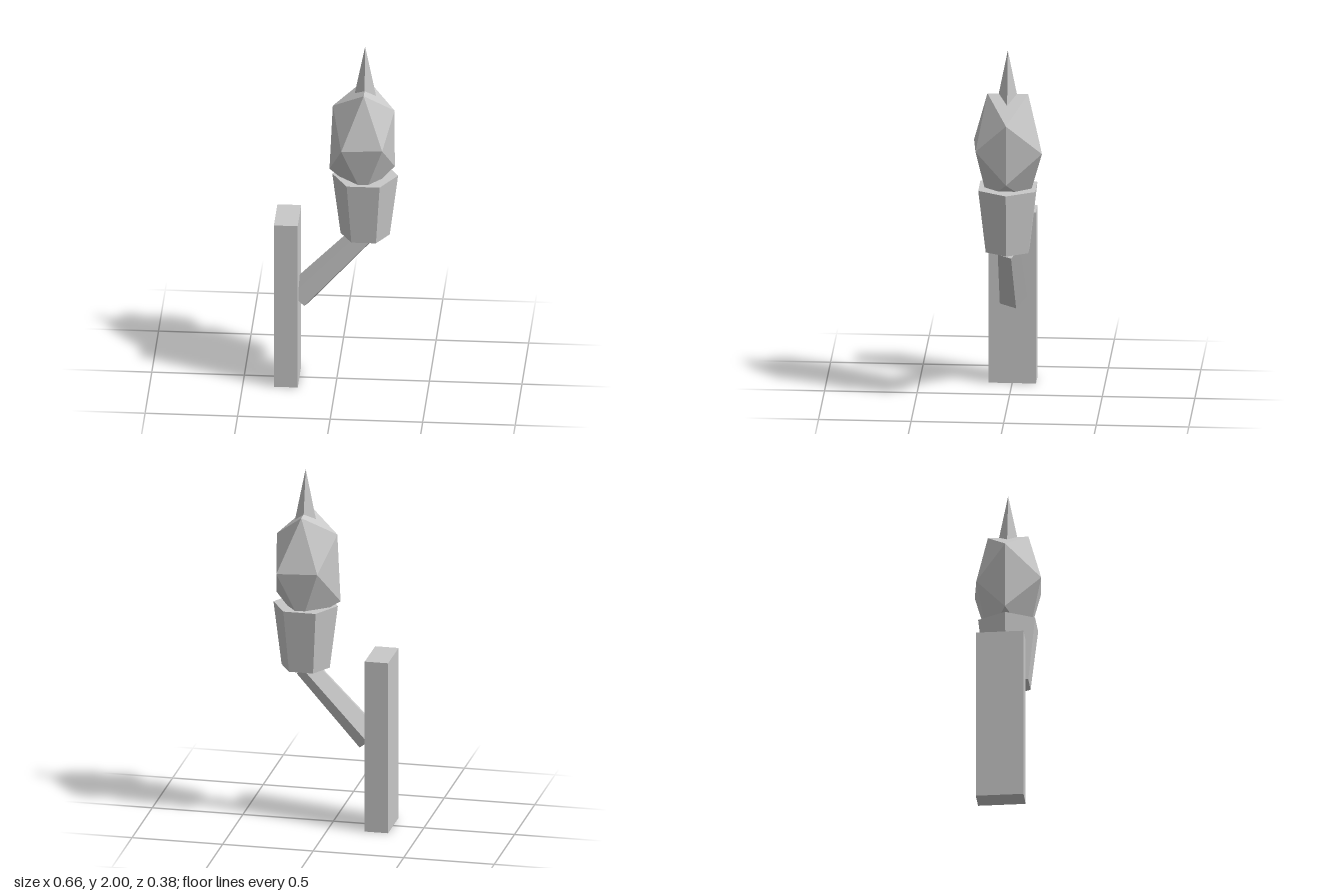
import * as THREE from 'three';
import { ConvexGeometry } from 'three/addons/geometries/ConvexGeometry.js';

const AXIS_X = 0.153; // vertical axis shared by cup, flame and tip

export function createModel() {
  const model = new THREE.Group();
  model.name = 'wallTorch';
  const stone = new THREE.MeshStandardMaterial({ color: 0xc8c8c8 });
  stone.name = 'pale grey';
  stone.flatShading = true;

  const add = (name, geometry, x = 0, y = 0, z = 0) => {
    const mesh = new THREE.Mesh(geometry, stone);
    mesh.name = name;
    mesh.position.set(x, y, z);
    model.add(mesh);
    return mesh;
  };

  // Upright wall plate
  add('wallPlate', new THREE.BoxGeometry(0.129, 0.97, 0.258), -0.2665, 0.485, 0);

  // Tapered five-sided arm, leaning from the plate up to the cup
  const start = new THREE.Vector3(-0.206, 0.492, 0);
  const end = new THREE.Vector3(AXIS_X, 0.877, 0);
  const span = end.clone().sub(start);
  const armShape = new THREE.CylinderGeometry(0.065, 0.08, span.length(), 5);
  armShape.rotateY(Math.PI);
  armShape.rotateZ(-Math.atan2(span.x, span.y));
  const middle = start.add(end).multiplyScalar(0.5);
  add('arm', armShape, middle.x, middle.y, 0);

  // Six-sided cup with corners pointing to either side
  const cupShape = new THREE.CylinderGeometry(0.178, 0.133, 0.355, 6);
  cupShape.rotateY(Math.PI / 2);
  add('cup', cupShape, AXIS_X, 1.0525, 0);

  // Flame: a tall, slightly uneven twenty-sided crystal
  const corners = [
    [AXIS_X, 1.755, 0.11], [AXIS_X, 1.755, -0.11],
    [-0.022, 1.638, 0], [0.312, 1.62, 0],
    [0.037, 1.455, 0.19], [0.257, 1.455, 0.168],
    [0.053, 1.455, -0.163], [0.272, 1.455, -0.192],
    [-0.04, 1.258, 0], [0.313, 1.285, 0],
    [AXIS_X, 1.155, 0.11], [AXIS_X, 1.155, -0.11],
  ].map((p) => new THREE.Vector3(...p));
  add('flame', new ConvexGeometry(corners));

  // Four-sided spike rising out of the flame
  add('flameTip', new THREE.ConeGeometry(0.08, 0.4, 4), AXIS_X, 1.8, 0);

  return model;
}
